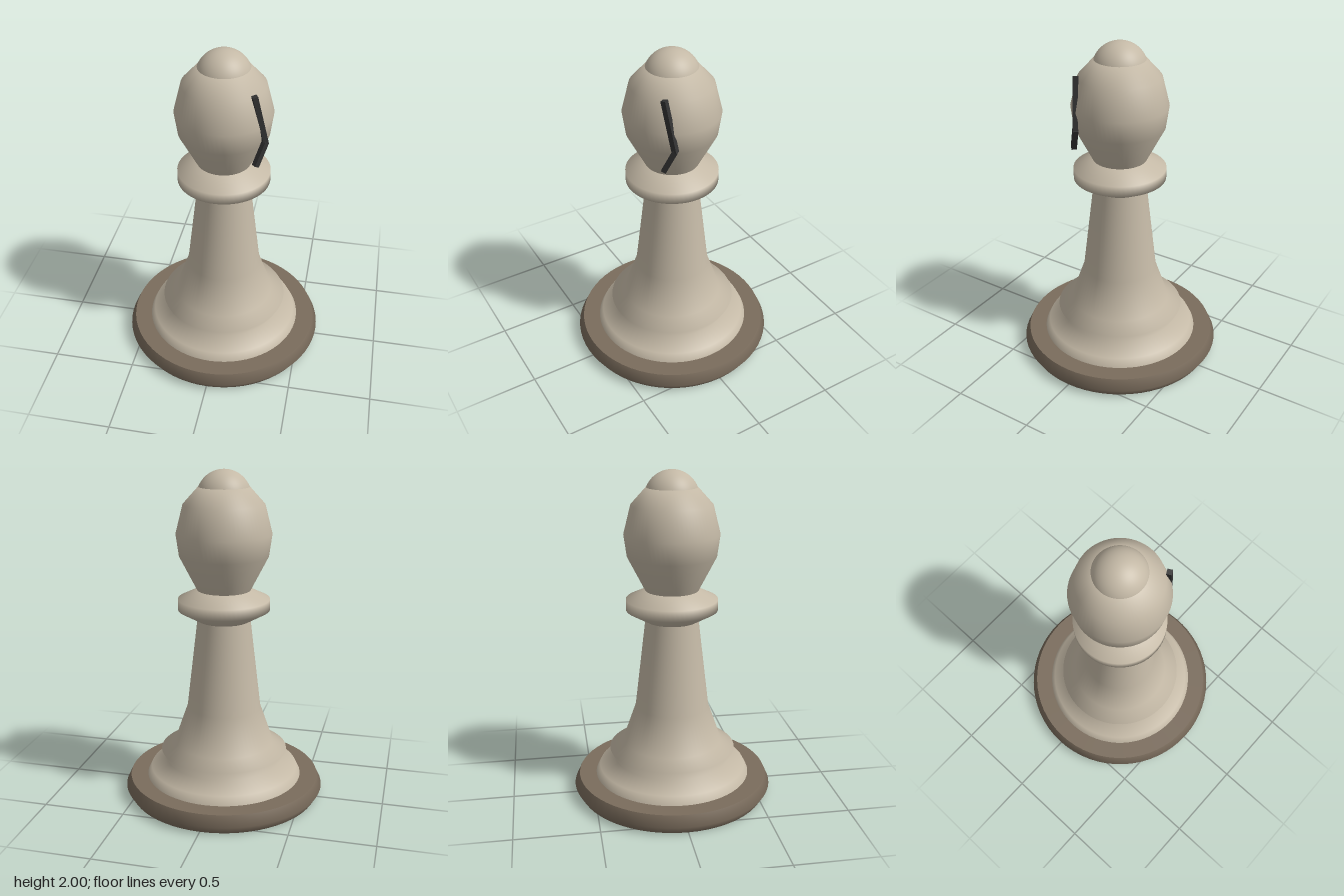
import * as THREE from 'three';

const mat = (color) => new THREE.MeshStandardMaterial({ color });

export function createModel() {
  const group = new THREE.Group();
  const cream = mat(0xc4b9a6), brown = mat(0x7a6c5c), dark = mat(0x333333), felt = mat(0x4a4641);

  const add = (name, geometry, material) => {
    const mesh = new THREE.Mesh(geometry, material);
    mesh.name = name;
    group.add(mesh);
    return mesh;
  };
  const lathe = (name, profile, material) =>
    add(name, new THREE.LatheGeometry(profile.map(([r, y]) => new THREE.Vector2(r, y)), 64), material);

  // Plinth: repeated points keep the top and bottom rims crisp
  lathe('plinth', [
    [0.49, 0], [0.585, 0], [0.585, 0], [0.615, 0.05], [0.585, 0.115], [0.585, 0.115], [0, 0.115],
  ], brown);

  // Felt pad set flush into the underside
  add('feltPad', new THREE.CircleGeometry(0.49, 64), felt).rotation.x = Math.PI / 2;

  // Stepped foot and tapering stem
  lathe('stem', [
    [0.48, 0.115], [0.455, 0.165], [0.355, 0.215], [0.39, 0.28],
    [0.305, 0.33], [0.225, 0.56], [0.16, 1.11],
  ], cream);

  // Collar
  lathe('collar', [[0.16, 1.11], [0.275, 1.175], [0.275, 1.24], [0.16, 1.295]], cream);

  // Head
  lathe('head', [
    [0.16, 1.295], [0.265, 1.5], [0.283, 1.63], [0.24, 1.8], [0.15, 1.9], [0, 1.92],
  ], cream);

  // Round finial
  add('finial', new THREE.SphereGeometry(0.16, 48, 32), cream).position.y = 1.84;

  // Bent dark strip marking the slit on the head
  const bend = [[0.197, 1.82, 0.165], [0.257, 1.53, 0.133], [0.213, 1.4, 0.178]]
    .map((p) => new THREE.Vector3(...p));
  for (let i = 0; i < 2; i++) {
    const length = bend[i].distanceTo(bend[i + 1]);
    const strip = add('slitStrip', new THREE.BoxGeometry(0.03, 0.03, length + 0.008), dark);
    strip.position.lerpVectors(bend[i], bend[i + 1], 0.5);
    strip.lookAt(bend[i]);
  }

  return group;
}
